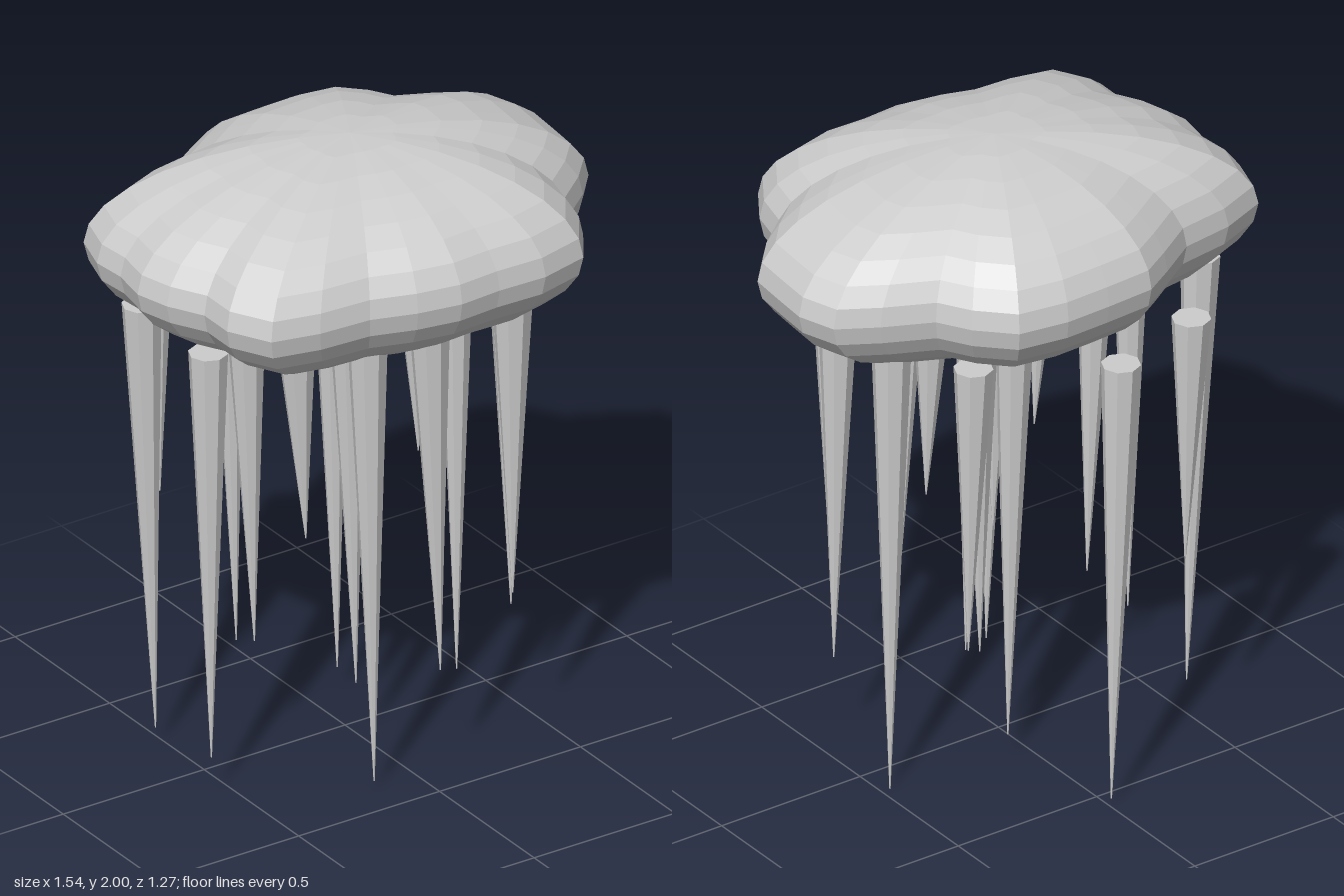
import * as THREE from 'three';

const CENTER = { x: -0.01, y: 1.69, z: 0.04 };
const HALF_HEIGHT = 0.31;
const RINGS = 16;

// Widest outline of the cloud (x, z), counterclockwise from above
const OUTLINE = [
  [0.77, -0.07], [0.73, -0.19], [0.61, -0.26], [0.46, -0.33], [0.40, -0.43], [0.30, -0.53], [0.14, -0.555], [-0.01, -0.55],
  [-0.17, -0.54], [-0.27, -0.48], [-0.40, -0.395], [-0.57, -0.37], [-0.72, -0.31], [-0.76, -0.18], [-0.75, -0.07], [-0.77, 0.05],
  [-0.74, 0.16], [-0.68, 0.27], [-0.68, 0.39], [-0.61, 0.52], [-0.46, 0.555], [-0.29, 0.565], [-0.15, 0.61], [-0.01, 0.635],
  [0.13, 0.625], [0.29, 0.63], [0.45, 0.59], [0.53, 0.47], [0.56, 0.35], [0.67, 0.26], [0.75, 0.17], [0.76, 0.06],
];

// Icicles: top x, top z, tip x, tip z, tip y
const ICICLES = [
  [-0.60, 0.17, -0.585, 0.165, 0.14],
  [-0.595, -0.19, -0.545, -0.19, 0.07],
  [-0.38, 0.04, -0.345, 0.035, 0.40],
  [-0.36, -0.475, -0.345, -0.465, 0.68],
  [-0.33, 0.23, -0.30, 0.24, 0.82],
  [-0.185, 0.395, -0.155, 0.385, 0.03],
  [-0.085, 0.14, -0.055, 0.14, 0.22],
  [-0.035, -0.575, 0.0, -0.575, 0.03],
  [0.005, 0.44, 0.05, 0.43, 0.36],
  [0.07, -0.18, 0.09, -0.175, 0.09],
  [0.09, -0.12, 0.105, -0.12, 0.78],
  [0.20, -0.18, 0.195, -0.18, 0.41],
  [0.22, 0.03, 0.24, 0.03, 0.86],
  [0.305, 0.43, 0.31, 0.425, 0.54],
  [0.335, -0.345, 0.35, -0.34, 0.54],
  [0.465, -0.11, 0.47, -0.11, 0.0],
  [0.46, 0.17, 0.485, 0.155, 0.33],
];

// Flattened lobed ball: the outline scaled ring by ring
function cloudGeometry() {
  const n = OUTLINE.length;
  const point = (i, j) => {
    const phi = (i / RINGS) * Math.PI;
    const s = Math.sin(phi);
    const [x, z] = OUTLINE[j % n];
    return [
      CENTER.x + (x - CENTER.x) * s,
      CENTER.y + HALF_HEIGHT * Math.cos(phi),
      CENTER.z + (z - CENTER.z) * s,
    ];
  };
  const positions = [];
  for (let i = 0; i < RINGS; i++) {
    for (let j = 0; j < n; j++) {
      const a = point(i, j), b = point(i + 1, j), c = point(i + 1, j + 1), d = point(i, j + 1);
      if (i < RINGS - 1) positions.push(...a, ...b, ...c);
      if (i > 0) positions.push(...a, ...c, ...d);
    }
  }
  const geometry = new THREE.BufferGeometry();
  geometry.setAttribute('position', new THREE.Float32BufferAttribute(positions, 3));
  geometry.computeVertexNormals();
  return geometry;
}

// Eight-sided spike with a flat top, leaning towards its tip
function icicleGeometry([topX, topZ, tipX, tipZ, tipY]) {
  const topY = 1.5, height = topY - tipY;
  const geometry = new THREE.CylinderGeometry(0.06, 0.002, height, 8).toNonIndexed();
  const p = geometry.attributes.position;
  for (let i = 0; i < p.count; i++) {
    const t = 0.5 - p.getY(i) / height;
    p.setXYZ(
      i,
      p.getX(i) + topX + (tipX - topX) * t,
      topY - height * t,
      p.getZ(i) + topZ + (tipZ - topZ) * t,
    );
  }
  geometry.computeVertexNormals();
  return geometry;
}

export function createModel() {
  const model = new THREE.Group();
  model.name = 'icicleCloud';
  const grey = new THREE.MeshStandardMaterial({ color: 0xcccccc, flatShading: true });
  grey.name = 'light grey';

  const cloud = new THREE.Mesh(cloudGeometry(), grey);
  cloud.name = 'cloud';
  model.add(cloud);

  const icicles = new THREE.Group();
  icicles.name = 'icicles';
  for (const spec of ICICLES) {
    const icicle = new THREE.Mesh(icicleGeometry(spec), grey);
    icicle.name = 'icicle';
    icicles.add(icicle);
  }
  model.add(icicles);
  return model;
}
